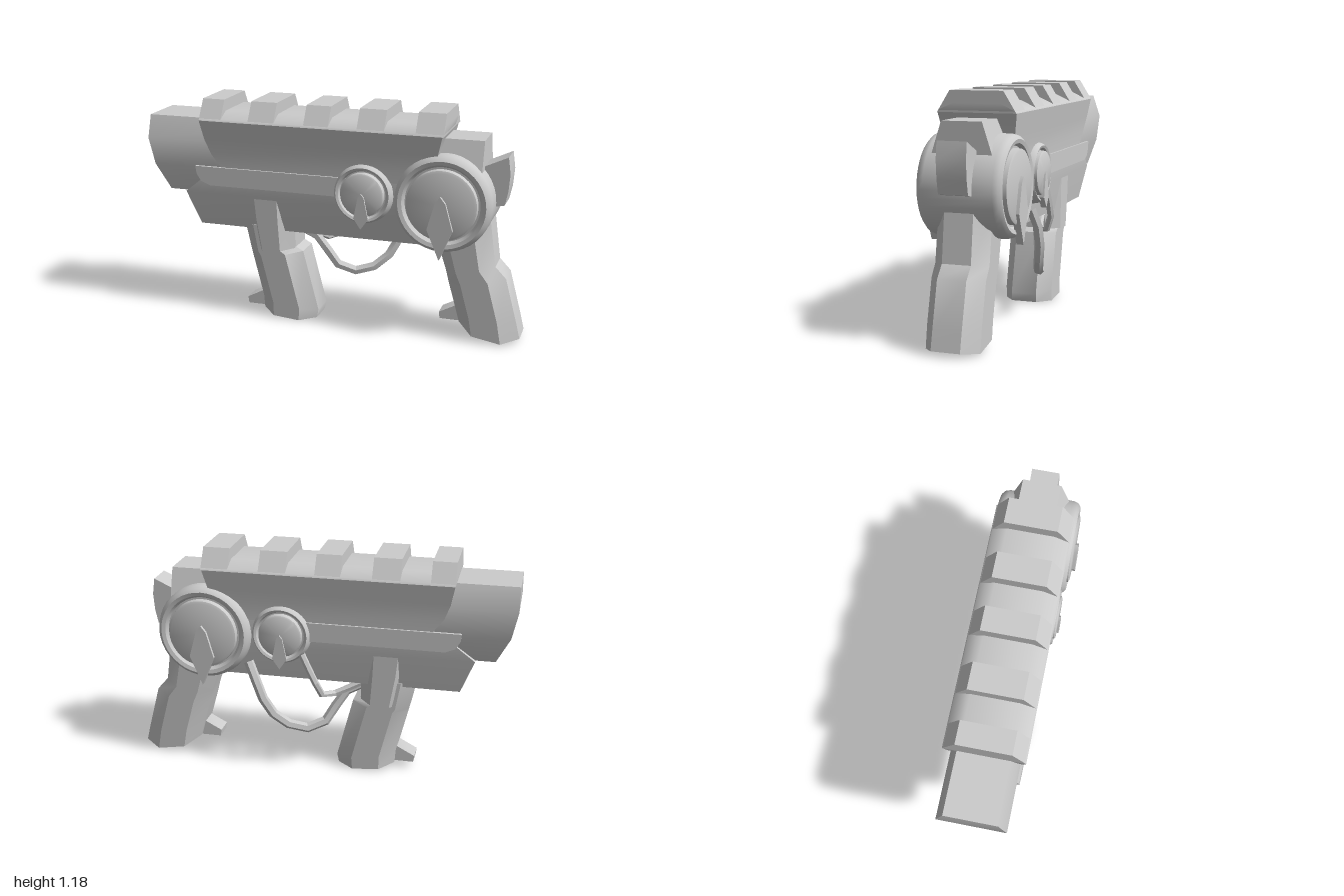
import * as THREE from 'three';
import { toCreasedNormals } from 'three/addons/utils/BufferGeometryUtils.js';

const grey = new THREE.MeshStandardMaterial({ color: 0xcccccc });

function part(name, geometry, parent, crease = 0.6) {
  const mesh = new THREE.Mesh(toCreasedNormals(geometry, crease), grey);
  mesh.name = name;
  parent.add(mesh);
  return mesh;
}

// Skin between rings listed bottom to top, closed with a fan at each end
function loft(rings) {
  const pos = [];
  const tri = (...pts) => pts.forEach((p) => pos.push(...p));
  const n = rings[0].length;
  for (let i = 0; i < rings.length - 1; i++) {
    for (let j = 0; j < n; j++) {
      const k = (j + 1) % n;
      const a = rings[i], b = rings[i + 1];
      tri(a[j], a[k], b[k]);
      tri(a[j], b[k], b[j]);
    }
  }
  [rings[0], rings[rings.length - 1]].forEach((ring, top) => {
    const c = [0, 1, 2].map((d) => ring.reduce((s, p) => s + p[d], 0) / n);
    for (let j = 0; j < n; j++) {
      const p = ring[j], q = ring[(j + 1) % n];
      if (top) tri(c, p, q);
      else tri(c, q, p);
    }
  });
  const geo = new THREE.BufferGeometry();
  geo.setAttribute('position', new THREE.Float32BufferAttribute(pos, 3));
  return geo;
}

// Stack of rectangles: [y, half depth, x start, x end]
const stack = (levels) => loft(levels.map(([y, w, x0, x1]) =>
  [[x1, y, w], [x1, y, -w], [x0, y, -w], [x0, y, w]]));

// Eight-sided slanted column: [front x, front y, back x, back y, sag of the middle]
const column = (w, slices) => loft(slices.map(([fx, fy, bx, by, sag = 0]) =>
  [[1, 0.53], [1, -0.53], [0.72, -1], [0.25, -1], [0, -0.5], [0, 0.5], [0.25, 1], [0.72, 1]]
    .map(([u, s]) => [
      fx + (bx - fx) * u,
      fy + (by - fy) * u + (u > 0 && u < 1 ? sag : 0),
      s * w,
    ])));

// Side outline extruded from z0 to z1
function plate(points, z0, z1) {
  const shape = new THREE.Shape(points.map(([x, y]) => new THREE.Vector2(x, y)));
  return new THREE.ExtrudeGeometry(shape, { depth: z1 - z0, bevelEnabled: false }).translate(0, 0, z0);
}

// Drum across the body with a rounded rim, a raised disc and a pointer on both faces
function dial(name, x, y, r, half, pointerZ, pointer, parent) {
  const g = new THREE.Group();
  g.name = name;
  g.position.set(x, y, 0);
  parent.add(g);
  const side = [
    [r, half - 0.04], [r * 0.97, half - 0.015], [r * 0.9, half], [r * 0.82, half - 0.005],
    [r * 0.77, half - 0.025], [r * 0.73, half - 0.025], [r * 0.72, half + 0.005],
    [r * 0.67, half + 0.01], [0, half + 0.01],
  ];
  const profile = [...side.map(([a, b]) => [a, -b]).reverse(), ...side];
  part(name + 'Drum', new THREE.LatheGeometry(
    profile.map(([a, b]) => new THREE.Vector2(a, b)), 40).rotateX(Math.PI / 2), g, 0.7);
  const [w, top, mid, tip] = pointer;
  const outline = [[0, tip], [w, mid], [w * 0.4, top - w * 0.5], [0, top], [-w * 0.4, top - w * 0.5], [-w, mid]];
  part(name + 'PointerFront', plate(outline, half - 0.01, pointerZ), g);
  part(name + 'PointerBack', plate(outline, -pointerZ, 0.01 - half), g);
}

// Bent low-poly hose
function hose(name, points, r, parent) {
  const curve = new THREE.CatmullRomCurve3(points.map((p) => new THREE.Vector3(...p)));
  part(name, new THREE.TubeGeometry(curve, points.length + 1, r, 6), parent, 0.3);
}

export function createModel() {
  const model = new THREE.Group();
  model.name = 'blaster';

  // Muzzle block and body
  part('muzzle', stack([
    [0.68, 0.125, -0.9, 0], [0.82, 0.16, -0.97, 0], [0.96, 0.17, -1, 0], [1.08, 0.13, -1, 0],
  ]), model);
  part('lowerBody', stack([
    [0.5, 0.12, -0.73, 0.56], [0.68, 0.15, -0.8, 0.56], [0.76, 0.16, -0.7, 0.56], [0.84, 0.16, -0.6, 0.56],
  ]), model);
  part('upperBody', stack([
    [0.82, 0.165, -0.58, 0.54], [0.9, 0.17, -0.64, 0.55], [0.98, 0.183, -0.67, 0.57],
    [1.08, 0.2, -0.69, 0.595], [1.09, 0.194, -0.69, 0.6], [1.125, 0.12, -0.69, 0.6],
  ]), model);
  part('sideRib', plate(
    [[-0.73, 0.83], [-0.725, 0.79], [-0.7, 0.75], [-0.65, 0.73], [0.15, 0.73], [0.15, 0.83]], -0.176, 0.176), model);

  // Rail teeth
  [[-0.69, -0.57], [-0.42, -0.28], [-0.12, 0.01], [0.16, 0.3], [0.46, 0.6]].forEach(([a, b], i) =>
    part('railTooth' + (i + 1), stack([[1.08, 0.2, a, b], [1.185, 0.135, a, b]]), model));

  // Rear sight block and hammer
  part('rearBlock', stack([[0.86, 0.163, 0.4, 0.785], [1.055, 0.1, 0.4, 0.785]]), model);
  part('hammer', plate([
    [0.7, 0.72], [0.84, 0.72], [0.89, 0.73], [0.905, 0.8], [0.912, 0.89], [0.9, 0.975], [0.78, 0.92], [0.7, 0.9],
  ], -0.073, 0.073), model);

  // Dials
  dial('largeDial', 0.6, 0.74, 0.248, 0.21, 0.236, [0.065, 0.05, -0.12, -0.275], model);
  dial('smallDial', 0.19, 0.755, 0.155, 0.197, 0.216, [0.038, 0.01, -0.12, -0.175], model);

  // Rear grip
  part('rearGrip', column(0.135, [
    [0.68, 0.085, 0.997, 0.03, -0.033], [0.665, 0.14, 0.975, 0.12],
    [0.62, 0.3, 0.915, 0.345], [0.605, 0.36, 0.858, 0.405], [0.54, 0.56, 0.82, 0.68],
  ]), model);

  // Front grip and its collar
  part('frontGrip', column(0.13, [
    [-0.395, 0.035, -0.095, 0.01, -0.012], [-0.4, 0.1, -0.086, 0.055],
    [-0.46, 0.34, -0.17, 0.38], [-0.465, 0.36, -0.21, 0.4], [-0.5, 0.52, -0.215, 0.52],
  ]), model);
  part('gripCollar', column(0.148, [
    [-0.425, 0.385, -0.213, 0.395], [-0.465, 0.56, -0.213, 0.56], [-0.487, 0.72, -0.213, 0.72],
  ]), model);

  // Finger spurs at the foot of both grips
  const spur = [[-0.1, 0.04], [-0.105, 0.075], [0, 0.13], [0.1, 0.13], [0.1, 0.04]];
  [['frontSpur', -0.395, 0], ['rearSpur', 0.675, 0.043]].forEach(([name, x, y]) =>
    part(name, plate(spur, -0.05, 0.05).translate(x, y, 0), model));

  // Hoses from the back side of the dials to the front grip
  hose('longHose', [
    [0.36, 0.6, -0.19], [0.315, 0.5, -0.212], [0.27, 0.38, -0.207], [0.2, 0.28, -0.175],
    [0.07, 0.225, -0.14], [-0.05, 0.28, -0.1], [-0.11, 0.41, -0.07], [-0.23, 0.48, -0.05],
  ], 0.026, model);
  hose('shortHose', [
    [0.08, 0.66, -0.18], [0.005, 0.5, -0.18], [-0.03, 0.42, -0.14], [-0.09, 0.425, -0.09], [-0.23, 0.49, -0.06],
  ], 0.018, model);

  return model;
}
